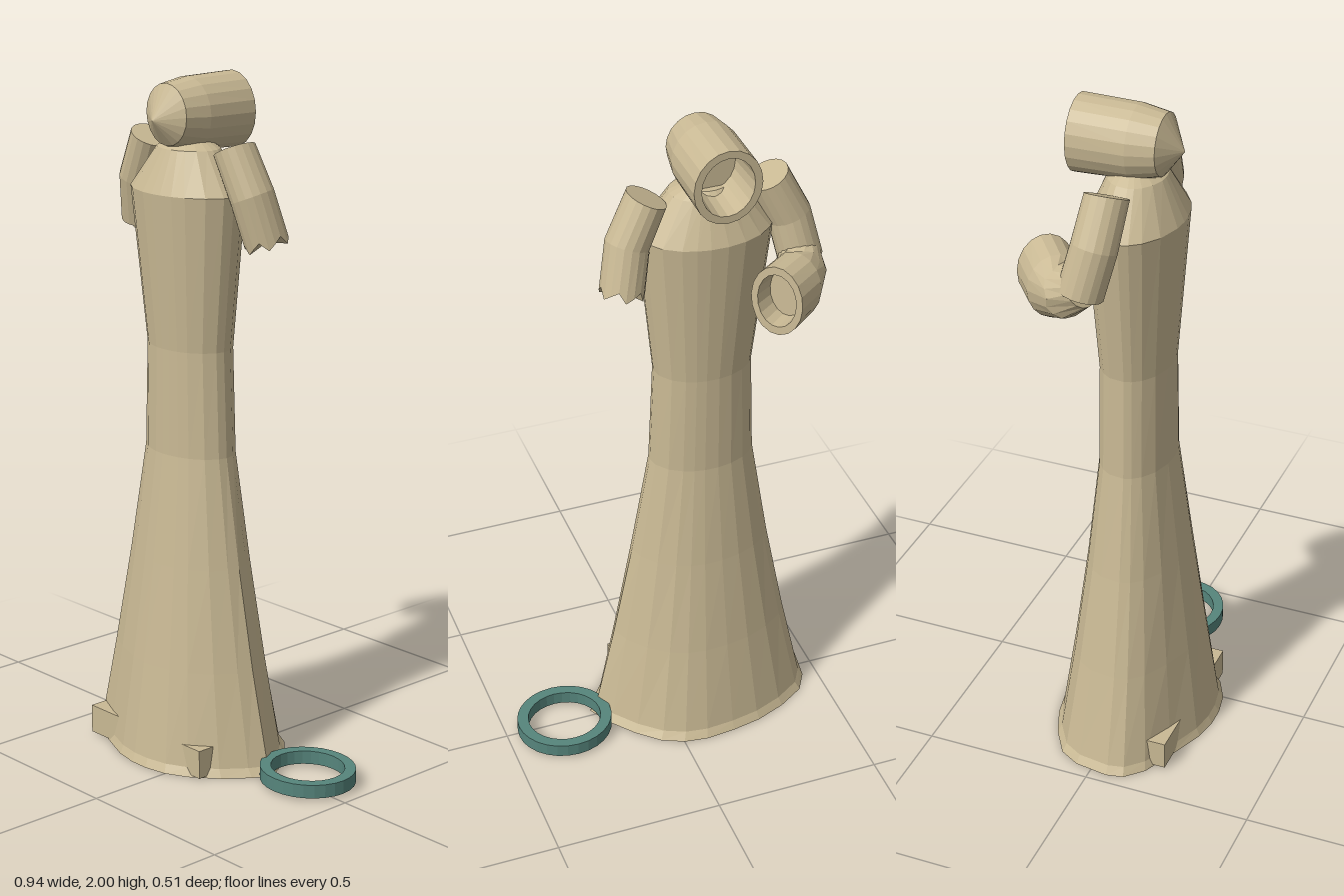
import * as THREE from 'three';

const V = (x, y, z) => new THREE.Vector3(x, y, z);

// Skin a list of closed rings; both ends are closed with a fan.
function loft(rings) {
  const pos = [];
  const tri = (a, b, c) => pos.push(...a.toArray(), ...b.toArray(), ...c.toArray());
  const n = rings[0].length;
  const mid = (r) => r.reduce((s, p) => s.add(p), V(0, 0, 0)).divideScalar(n);
  const first = rings[0], last = rings[rings.length - 1];
  const c0 = mid(first), c1 = mid(last);
  for (let i = 0; i < n; i++) {
    const j = (i + 1) % n;
    for (let k = 0; k + 1 < rings.length; k++) {
      const r = rings[k], s = rings[k + 1];
      tri(r[i], r[j], s[j]);
      tri(r[i], s[j], s[i]);
    }
    tri(c0, first[j], first[i]);
    tri(c1, last[i], last[j]);
  }
  const g = new THREE.BufferGeometry();
  g.setAttribute('position', new THREE.Float32BufferAttribute(pos, 3));
  g.computeVertexNormals();
  return g;
}

// Elliptical ring facing direction d; jag shifts alternate points along d.
function ring(c, d, ru, rv, ref, n = 18, jag = 0) {
  d = d.clone().normalize();
  const u = ref.clone().cross(d).normalize(), v = d.clone().cross(u);
  return Array.from({ length: n }, (_, i) => {
    const t = (i / n) * Math.PI * 2;
    return c.clone().addScaledVector(u, Math.cos(t) * ru).addScaledVector(v, Math.sin(t) * rv)
      .addScaledVector(d, jag * (i % 3 - 1));
  });
}

export function createModel() {
  const model = new THREE.Group();
  const stone = new THREE.MeshStandardMaterial({ color: 0xc9b994, flatShading: true });
  const teal = new THREE.MeshStandardMaterial({ color: 0x56857c, flatShading: true });
  const add = (name, geo, mat = stone) => {
    const m = new THREE.Mesh(geo, mat);
    m.name = name;
    model.add(m);
    return m;
  };
  const Y = V(0, 1, 0), Z = V(0, 0, 1);

  // Gown: uneven hem outline (x, z) that eases into plain ellipses higher up
  const hem = [
    [0.225, 0.02], [0.19, -0.045], [0.13, -0.12], [0.065, -0.18], [0, -0.21], [-0.07, -0.22],
    [-0.16, -0.212], [-0.25, -0.195], [-0.34, -0.16], [-0.42, -0.11], [-0.455, -0.05], [-0.47, 0.05],
    [-0.46, 0.1], [-0.41, 0.15], [-0.31, 0.195], [-0.2, 0.24], [-0.13, 0.253], [-0.07, 0.253],
    [0, 0.24], [0.065, 0.207], [0.14, 0.145], [0.195, 0.075],
  ];
  // y, x min, x max, z min, z max, share of hem outline
  const levels = [
    [0, -0.47, 0.22, -0.218, 0.255, 1],
    [0.025, -0.455, 0.2, -0.203, 0.243, 0.9],
    [0.3, -0.395, 0.14, -0.16, 0.205, 0.6],
    [0.6, -0.337, 0.082, -0.12, 0.165, 0.3],
    [0.92, -0.285, 0.027, -0.085, 0.125, 0],
    [1.23, -0.275, 0.015, -0.083, 0.122, 0],
    [1.68, -0.33, 0.06, -0.112, 0.155, 0],
    [1.8, -0.235, -0.03, -0.06, 0.1, 0],
    [1.82, -0.2, -0.07, -0.04, 0.07, 0],
  ];
  add('gown', loft(levels.map(([y, x0, x1, z0, z1, w]) => hem.map(([hx, hz]) => {
    const nx = (hx + 0.125) / 0.345, nz = (hz - 0.018) / 0.236, l = Math.hypot(nx, nz);
    const k = w + (1 - w) / l;
    return V((x0 + x1) / 2 + nx * k * (x1 - x0) / 2, y, (z0 + z1) / 2 + nz * k * (z1 - z0) / 2);
  }))));

  // Head: blunt cone in front, hollow opening at the back
  const back = V(0, 0, -1);
  add('head', loft([
    [0.153, 1.885, 0.001, 0.001], [0.1, 1.897, 0.085, 0.088], [0.02, 1.893, 0.099, 0.105],
    [-0.15, 1.89, 0.098, 0.11], [-0.15, 1.89, 0.076, 0.088], [-0.02, 1.89, 0.07, 0.08],
  ].map(([z, y, rx, ry]) => ring(V(-0.135, y, z), back, rx, ry, Y, 20))));

  // Upper arms, mirrored about the gown's middle; the left one ends in a ragged stump
  for (const [name, s, jag] of [['rightUpperArm', -1, 0], ['leftUpperArm', 1, 0.014]]) {
    const at = (x, y, z) => V(-0.135 + s * x, y, z);
    add(name, loft([
      ring(at(0.175, 1.81, 0.004), V(s * 0.43, -0.9, 0), 0.06, 0.062, Z),
      ring(at(0.235, 1.685, -0.008), V(s * 0.33, -0.93, -0.15), 0.063, 0.065, Z),
      ring(at(0.262, 1.555, -0.038), V(s * 0.2, -0.95, -0.2), 0.063, 0.065, Z, 18, jag),
    ]));
  }

  // Right forearm: bent behind the back, ending in an open cuff
  const reach = V(0.78, 0.06, -0.62);
  const cuff = V(-0.262, 1.535, -0.198);
  add('rightForearm', loft([
    ring(V(-0.392, 1.575, -0.04), V(0.2, -0.55, -0.8), 0.058, 0.06, Y),
    ring(V(-0.378, 1.545, -0.085), V(0.45, -0.25, -0.75), 0.072, 0.076, Y, 18, 0.008),
    ring(V(-0.345, 1.532, -0.132), reach, 0.08, 0.098, Y),
    ring(cuff, reach, 0.08, 0.104, Y),
    ring(cuff, reach, 0.06, 0.08, Y),
    ring(V(-0.31, 1.532, -0.16), reach, 0.055, 0.074, Y),
  ]));

  // Feet: blocks whose corners poke through the hem
  for (const [name, x] of [['rightFoot', -0.31], ['leftFoot', 0.035]]) {
    add(name, new THREE.BoxGeometry(0.14, 0.085, 0.1)).position.set(x, 0.0475, 0.15);
  }

  // Loose hoop lying beside the hem
  const hoop = new THREE.LatheGeometry(
    [[0.106, 0.01], [0.138, 0.01], [0.138, 0.05], [0.106, 0.05], [0.106, 0.01]]
      .map(([r, y]) => new THREE.Vector2(r, y)), 28);
  hoop.scale(1.05, 1, 0.97);
  add('hoop', hoop, teal).position.set(0.323, 0, -0.025);

  return model;
}
